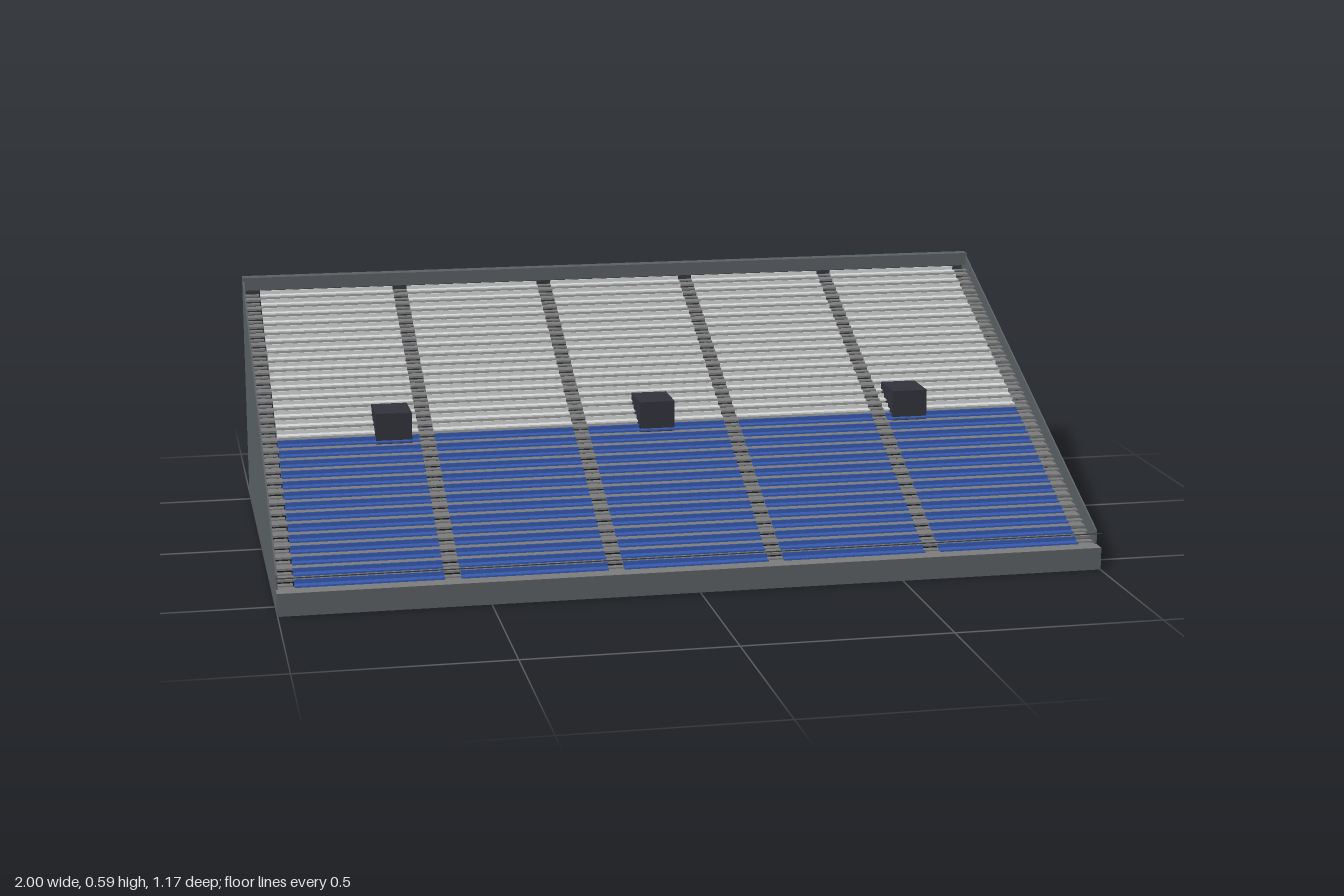
import * as THREE from 'three';
import { mergeGeometries } from 'three/addons/utils/BufferGeometryUtils.js';

export function createModel() {
  const group = new THREE.Group();
  const mat = (name, color, side = THREE.FrontSide) => {
    const m = new THREE.MeshStandardMaterial({ color, side });
    m.name = name;
    return m;
  };
  const wallGrey = mat('wallGrey', 0x5a6063, THREE.DoubleSide);
  const deckGrey = mat('deckGrey', 0x7c7c7c);
  const seatBlue = mat('seatBlue', 0x3659ae);
  const seatLight = mat('seatLight', 0xd6d8d8);
  const hatchDark = mat('hatchDark', 0x32333b);
  const steelDark = mat('steelDark', 0x3e4144);

  const add = (name, geos, material) => {
    const mesh = new THREE.Mesh(mergeGeometries(geos), material);
    mesh.name = name;
    group.add(mesh);
  };
  // Box given by its low and high bounds on each axis
  const box = (x0, x1, y0, y1, z0, z1) =>
    new THREE.BoxGeometry(x1 - x0, y1 - y0, z1 - z0)
      .translate((x0 + x1) / 2, (y0 + y1) / 2, (z0 + z1) / 2);

  const ROWS = 30, BLUE_ROWS = 14, FRONT = 0.55, BASE = 0.05;
  const PITCH = 1.1 / ROWS, RISE = 0.0168;
  const SECTIONS = [-0.78, -0.39, 0, 0.39, 0.78], HALF = 0.176;
  const AISLES = [-0.978, -0.585, -0.195, 0.195, 0.585, 0.978];

  // Terrace: treads, risers behind the seats, half steps in the aisles
  const treads = [], risers = [], steps = [], blue = [], light = [];
  for (let k = 0; k < ROWS; k++) {
    const z = FRONT - k * PITCH, y = BASE + k * RISE;
    treads.push(box(-0.995, 0.995, y - 0.005, y, z - PITCH, z));
    for (const x of AISLES) {
      steps.push(box(x - 0.019, x + 0.019, y + 0.005, y + 0.0085, z - PITCH, z - PITCH / 2));
    }
    const seats = k < BLUE_ROWS ? blue : light;
    for (const x of SECTIONS) {
      const a = x - HALF, b = x + HALF;
      risers.push(box(a, b, y, y + RISE - 0.005, z - PITCH, z - PITCH + 0.002));
      // Seat pan and backrest
      seats.push(box(a, b, y + 0.005, y + 0.009, z - 0.029, z - 0.007));
      seats.push(box(a, b, y + 0.005, y + 0.0185, z - 0.033, z - 0.029));
    }
  }
  add('treads', treads, deckGrey);
  add('risers', risers, deckGrey);
  add('aisleSteps', steps, deckGrey);
  add('lowerSeats', blue, seatBlue);
  add('upperSeats', light, seatLight);

  // Side walls
  const profile = new THREE.Shape();
  [[0.55, 0], [0.55, 0.09], [-0.55, 0.58], [-0.55, 0.59], [-0.582, 0.59], [-0.582, 0]]
    .forEach(([z, y], i) => (i ? profile.lineTo(-z, y) : profile.moveTo(-z, y)));
  const wall = () => new THREE.ExtrudeGeometry(profile, { depth: 0.004, bevelEnabled: false })
    .rotateY(Math.PI / 2);
  add('sideWalls', [wall().translate(0.996, 0, 0), wall().translate(-1, 0, 0)], wallGrey);

  // Rear parapet, front walkway, fascia and handrail
  add('rearParapet', [box(-1, 1, 0.556, 0.59, -0.583, -0.55)], wallGrey);
  add('frontWalkway', [box(-1, 1, 0.049, 0.055, 0.535, 0.583)], deckGrey);
  add('frontFascia', [new THREE.PlaneGeometry(2, 0.055).translate(0, 0.0275, 0.584)], wallGrey);
  add('frontHandrail', [box(-1, 1, 0.09, 0.0925, 0.582, 0.5845)], steelDark);

  // Entrance hatches
  add('entranceHatches', [-0.668, 0, 0.664].map(
    x => box(x - 0.045, x + 0.045, 0.265, 0.346, -0.06, 0.053)), hatchDark);

  // Scaffold under the terrace: posts, ledgers and diagonal braces
  const posts = [], ledgers = [], braces = [];
  for (const z of [-0.56, -0.31, -0.06, 0.19]) {
    const top = BASE + (FRONT - z) * RISE / PITCH - 0.022;
    for (let i = -5; i <= 5; i++) {
      const x = i * 0.198;
      posts.push(box(x - 0.003, x + 0.003, 0, top, z - 0.003, z + 0.003));
    }
    for (let y = 0.09; y < top; y += 0.09) {
      ledgers.push(box(-0.995, 0.995, y - 0.0015, y + 0.0015, z - 0.0015, z + 0.0015));
    }
    for (let i = -4; i <= 4; i += 2) {
      const dx = 0.198;
      braces.push(new THREE.BoxGeometry(0.003, Math.hypot(dx, top), 0.003)
        .rotateZ(-Math.atan2(dx, top)).translate((i - 0.5) * dx, top / 2, z));
    }
  }
  add('scaffoldPosts', posts, steelDark);
  add('scaffoldLedgers', ledgers, steelDark);
  add('scaffoldBraces', braces, steelDark);

  return group;
}
